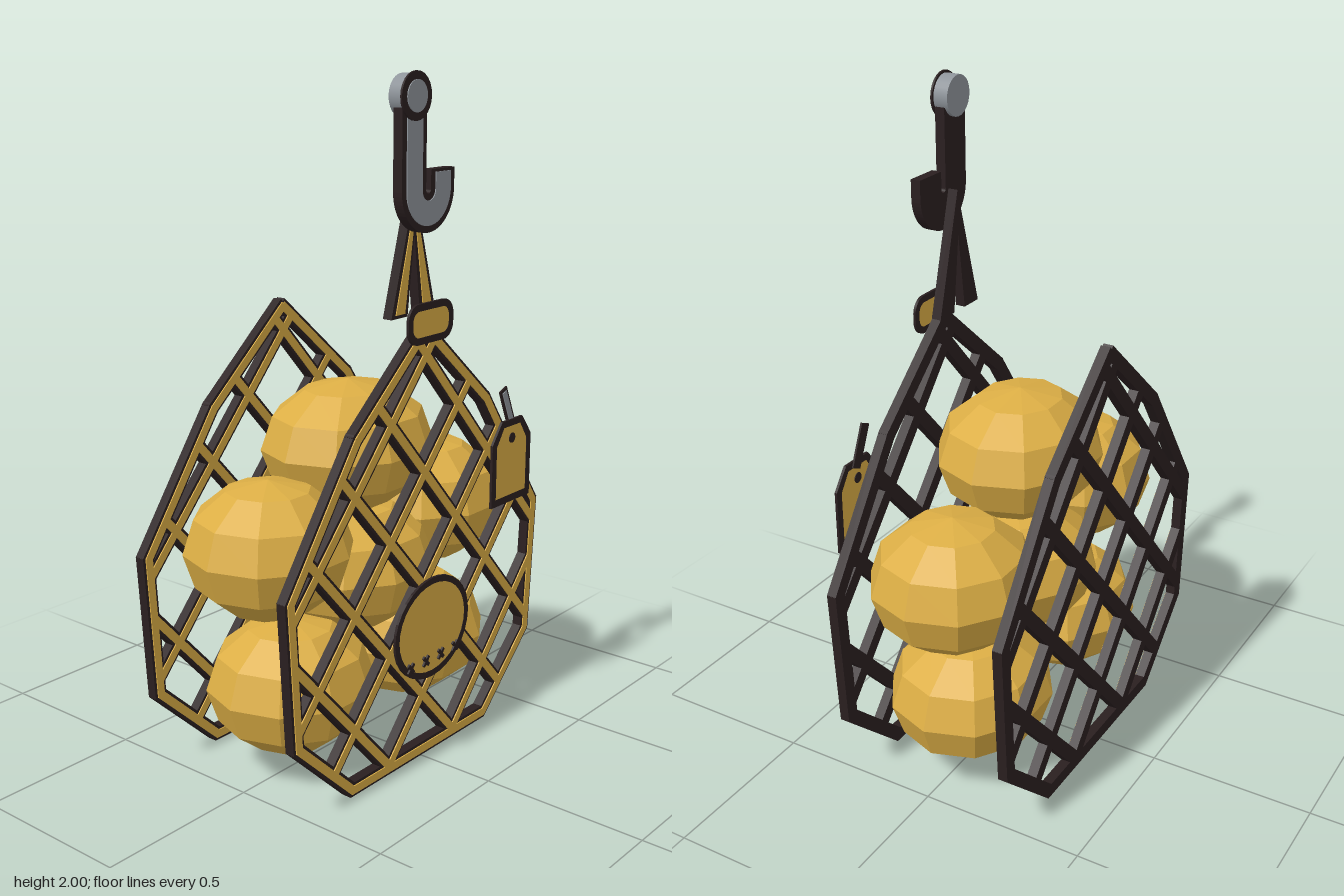
import * as THREE from 'three';

export function createModel() {
  const model = new THREE.Group();
  const mat = (name, color, extra = {}) => {
    const m = new THREE.MeshStandardMaterial({ color, ...extra });
    m.name = name;
    return m;
  };
  const gold = mat('gold', 0xdcae45, { flatShading: true });
  const dark = mat('dark outline', 0x2a1f20);
  const grey = mat('steel grey', 0x8f959b);

  const add = (name, geo, material, parent = model) => {
    const m = new THREE.Mesh(geo, material);
    m.name = name;
    parent.add(m);
    return m;
  };
  const group = (name) => {
    const g = new THREE.Group();
    g.name = name;
    model.add(g);
    return g;
  };
  // Flat plate cut from a shape, with its back at z
  const plate = (name, shape, z, depth, material, parent) => {
    const geo = new THREE.ExtrudeGeometry(shape, { depth, bevelEnabled: false, curveSegments: 16 });
    return add(name, geo.translate(0, 0, z), material, parent);
  };
  const poly = (pts) => new THREE.Shape(pts.map(([x, y]) => new THREE.Vector2(x, y)));
  // Straight bar between two points
  const bar = (name, [ax, ay], [bx, by], width, depth, z, material, parent, extra = 0) => {
    const len = Math.hypot(bx - ax, by - ay) + extra;
    const m = add(name, new THREE.BoxGeometry(len, width, depth), material, parent);
    m.position.set((ax + bx) / 2, (ay + by) / 2, z);
    m.rotation.z = Math.atan2(by - ay, bx - ax);
  };
  // Inset face surrounded by a dark rim, both thin
  const rimmed = (name, outer, inner, z, depth, faceMat, parent) => {
    const rim = outer.clone();
    rim.holes.push(new THREE.Path(inner.getPoints(16)));
    plate(name + 'Rim', rim, z, depth, dark, parent);
    plate(name + 'Face', inner, z + 0.001, depth - 0.002, faceMat, parent);
  };

  // Fruit: [x, y, rx, ry]
  const fruits = group('fruits');
  [[-0.02, 0.93, 0.275, 0.195], [-0.365, 0.7, 0.245, 0.2], [0.355, 0.675, 0.25, 0.2],
    [0, 0.56, 0.26, 0.2], [-0.28, 0.265, 0.255, 0.2], [0.265, 0.26, 0.265, 0.2]].forEach(([x, y, rx, ry]) => {
    const m = add('fruit', new THREE.SphereGeometry(1, 10, 6), gold, fruits);
    m.scale.set(rx, ry, 0.242);
    m.position.set(x, y, -0.012);
  });

  // Net panels: outline polygon (counter-clockwise) and clipped diagonals
  const half = [[0.32, 0.021], [0.545, 0.235], [0.572, 0.66], [0.3, 1.045]];
  const outline = [...half, [0, 1.302], ...half.map(([x, y]) => [-x, y]).reverse()];
  const clip = (px, py, dx, dy) => {
    let t0 = -9, t1 = 9;
    outline.forEach(([ax, ay], i) => {
      const [bx, by] = outline[(i + 1) % outline.length];
      const nx = ay - by, ny = bx - ax;
      const dist = (px - ax) * nx + (py - ay) * ny;
      const rate = dx * nx + dy * ny;
      if (Math.abs(rate) < 1e-9) {
        if (dist < 0) t1 = -9;
      } else if (rate > 0) t0 = Math.max(t0, -dist / rate);
      else t1 = Math.min(t1, -dist / rate);
    });
    return t1 - t0 > 0.05 ? [[px + dx * t0, py + dy * t0], [px + dx * t1, py + dy * t1]] : null;
  };
  const netPanel = (name, z) => {
    const g = group(name);
    const strand = (a, b, extra) => {
      bar('netCord', a, b, 0.042, 0.03, z, dark, g, extra);
      bar('netCordFace', a, b, 0.025, 0.004, z + 0.0165, gold, g, extra * 0.5);
    };
    outline.forEach((p, i) => strand(p, outline[(i + 1) % outline.length], 0.016));
    for (let k = -3; k <= 6; k++) {
      for (const s of [-1, 1]) {
        const seg = clip(0, 0.2 + 0.343 * k, 0.155 * s, 0.1715);
        if (seg) strand(seg[0], seg[1], 0);
      }
    }
  };
  netPanel('frontNet', 0.24);
  netPanel('backNet', -0.297);

  // Gathered cords between the net and the hook
  const cords = group('gatheredCords');
  for (const s of [-1, 1]) {
    const side = (pts) => poly(pts.map(([x, y]) => [x * s, y]));
    plate('cord', side([[0, 1.69], [0.1, 1.335], [0.028, 1.335], [0, 1.56]]), 0.18, 0.03, dark, cords);
    plate('cordFace', side([[0.007, 1.6], [0.02, 1.58], [0.082, 1.345], [0.042, 1.345], [0.007, 1.575]]),
      0.21, 0.003, gold, cords);
  }

  // Collar
  const pill = (w, h, r) => {
    const s = new THREE.Shape();
    s.absarc(w - r, h - r, r, 0, Math.PI / 2);
    s.absarc(-w + r, h - r, r, Math.PI / 2, Math.PI);
    s.absarc(-w + r, -h + r, r, Math.PI, Math.PI * 1.5);
    s.absarc(w - r, -h + r, r, Math.PI * 1.5, Math.PI * 2);
    return s;
  };
  const collar = group('collar');
  rimmed('collar', pill(0.102, 0.057, 0.045), pill(0.082, 0.037, 0.028), 0.264, 0.008, gold, collar);
  collar.position.y = 1.323;

  // Hook
  const hookShape = (hw, top, tip) => {
    const c = 1.685, r = 0.064;
    const s = new THREE.Shape();
    s.moveTo(-r - hw, top);
    s.lineTo(-r - hw, c);
    s.absarc(0, c, r + hw, Math.PI, Math.PI * 2, false);
    s.lineTo(r + hw, tip);
    s.lineTo(r - hw, tip);
    s.lineTo(r - hw, c);
    s.absarc(0, c, r - hw, 0, -Math.PI, true);
    s.lineTo(-r + hw, top);
    return s;
  };
  const hook = group('hook');
  plate('hookBody', hookShape(0.053, 1.91, 1.738), 0.226, 0.03, dark, hook);
  plate('hookFace', hookShape(0.034, 1.91, 1.73), 0.256, 0.003, grey, hook);
  const disc = (name, r, depth, z, material) => {
    const m = add(name, new THREE.CylinderGeometry(r, r, depth, 24).rotateX(Math.PI / 2), material, hook);
    m.position.set(-0.067, 1.935, z);
  };
  disc('hookKnob', 0.058, 0.044, 0.237, grey);
  disc('hookKnobRim', 0.065, 0.006, 0.262, dark);
  disc('hookKnobFace', 0.043, 0.003, 0.2665, grey);

  // Oval label with small cross stitches
  const oval = (rx, ry) => new THREE.Shape().absellipse(0, 0, rx, ry, 0, Math.PI * 2);
  const label = group('label');
  rimmed('label', oval(0.176, 0.154), oval(0.157, 0.135), 0.284, 0.008, gold, label);
  label.position.y = 0.423;
  for (const x of [-0.106, -0.035, 0.037, 0.108]) {
    for (const s of [-1, 1]) {
      bar('stitch', [x - 0.012, -0.094 - 0.014 * s], [x + 0.012, -0.094 + 0.014 * s], 0.01, 0.006, 0.295, dark, label);
    }
  }

  // Hanging price tag with its string
  const tagShape = (w, bottom, top, shoulder, cut) =>
    poly([[-w, bottom], [w, bottom], [w, shoulder], [cut, top], [-cut, top], [-w, shoulder]]);
  const tag = group('tag');
  rimmed('tag', tagShape(0.101, 0.72, 0.978, 0.915, 0.053), tagShape(0.079, 0.742, 0.958, 0.905, 0.043),
    0.302, 0.008, gold, tag);
  const hole = add('tagHole', new THREE.CylinderGeometry(0.016, 0.016, 0.01, 12).rotateX(Math.PI / 2), dark, tag);
  hole.position.set(0, 0.92, 0.306);
  bar('tagString', [-0.042, 1.075], [0.01, 0.955], 0.036, 0.006, 0.3, dark, tag);
  bar('tagStringFace', [-0.039, 1.067], [0.006, 0.965], 0.02, 0.003, 0.304, grey, tag);
  tag.position.x = 0.361;

  return model;
}
